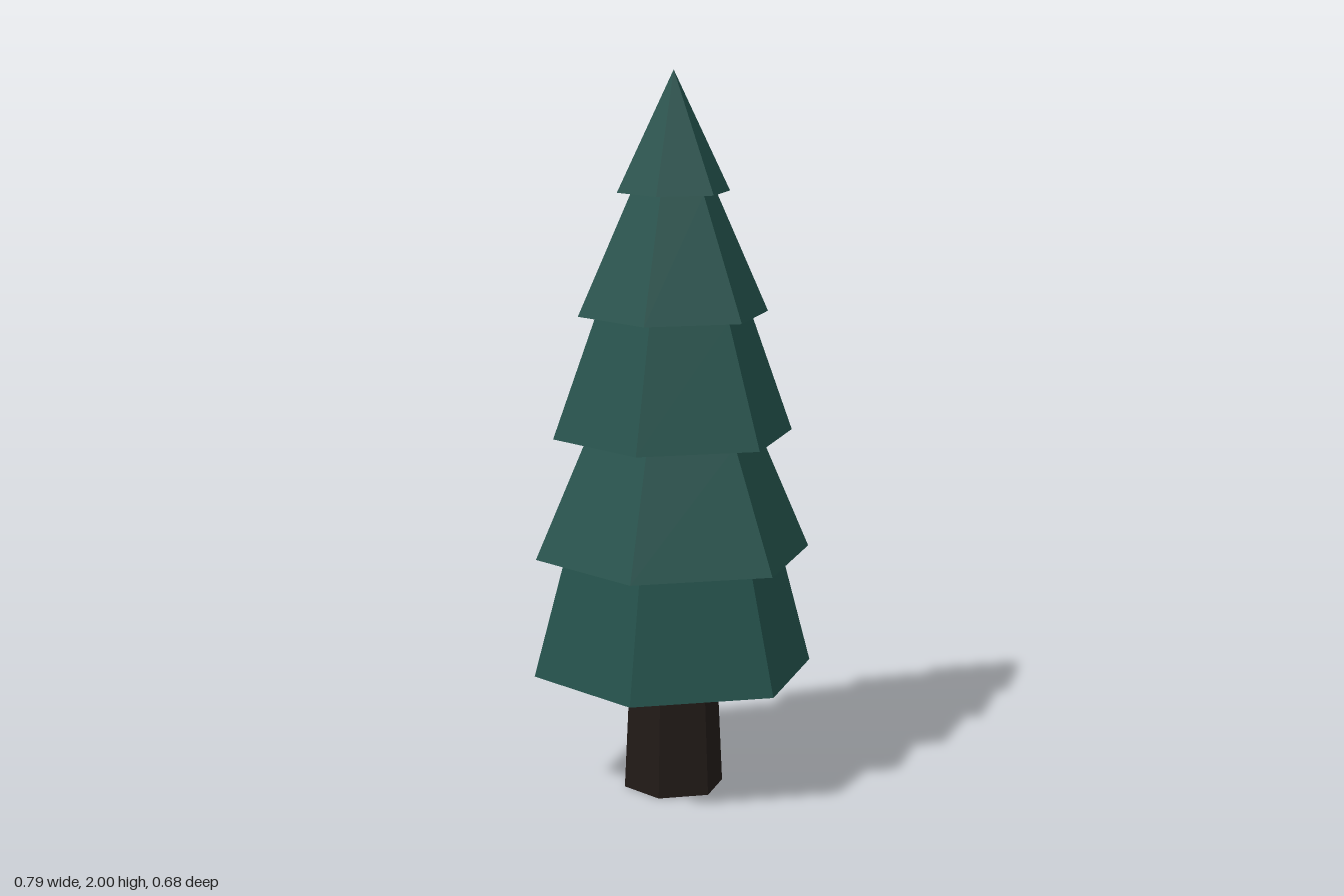
import * as THREE from 'three';

const SIDES = 6;
const leaf = new THREE.MeshStandardMaterial({ color: 0x22504a, flatShading: true, side: THREE.DoubleSide });
const bark = new THREE.MeshStandardMaterial({ color: 0x211a17, flatShading: true });

// Tapered hexagonal section with corners on the x axis
function hexSection(name, bottomY, topY, bottomR, topR, open, material) {
  const height = topY - bottomY;
  const geometry = new THREE.CylinderGeometry(topR, bottomR, height, SIDES, 1, open, Math.PI / 6);
  const mesh = new THREE.Mesh(geometry, material);
  mesh.name = name;
  mesh.position.y = bottomY + height / 2;
  return mesh;
}

export function createModel() {
  const tree = new THREE.Group();
  tree.name = 'pineTree';

  // Trunk, ending level with the lowest rim
  tree.add(hexSection('trunk', 0, 0.338, 0.141, 0.125, false, bark));

  // Hollow skirts of foliage: rim height, top height, rim radius, top radius
  const tiers = [
    [0.338, 0.67, 0.395, 0.307],
    [0.67, 1.005, 0.388, 0.243],
    [1.005, 1.34, 0.337, 0.217],
    [1.34, 1.673, 0.266, 0.118],
    [1.673, 2, 0.157, 0],
  ];
  const foliage = new THREE.Group();
  foliage.name = 'foliage';
  tiers.forEach(([y0, y1, r0, r1], i) => {
    foliage.add(hexSection(`foliageTier${i + 1}`, y0, y1, r0, r1, true, leaf));
  });
  tree.add(foliage);

  return tree;
}
